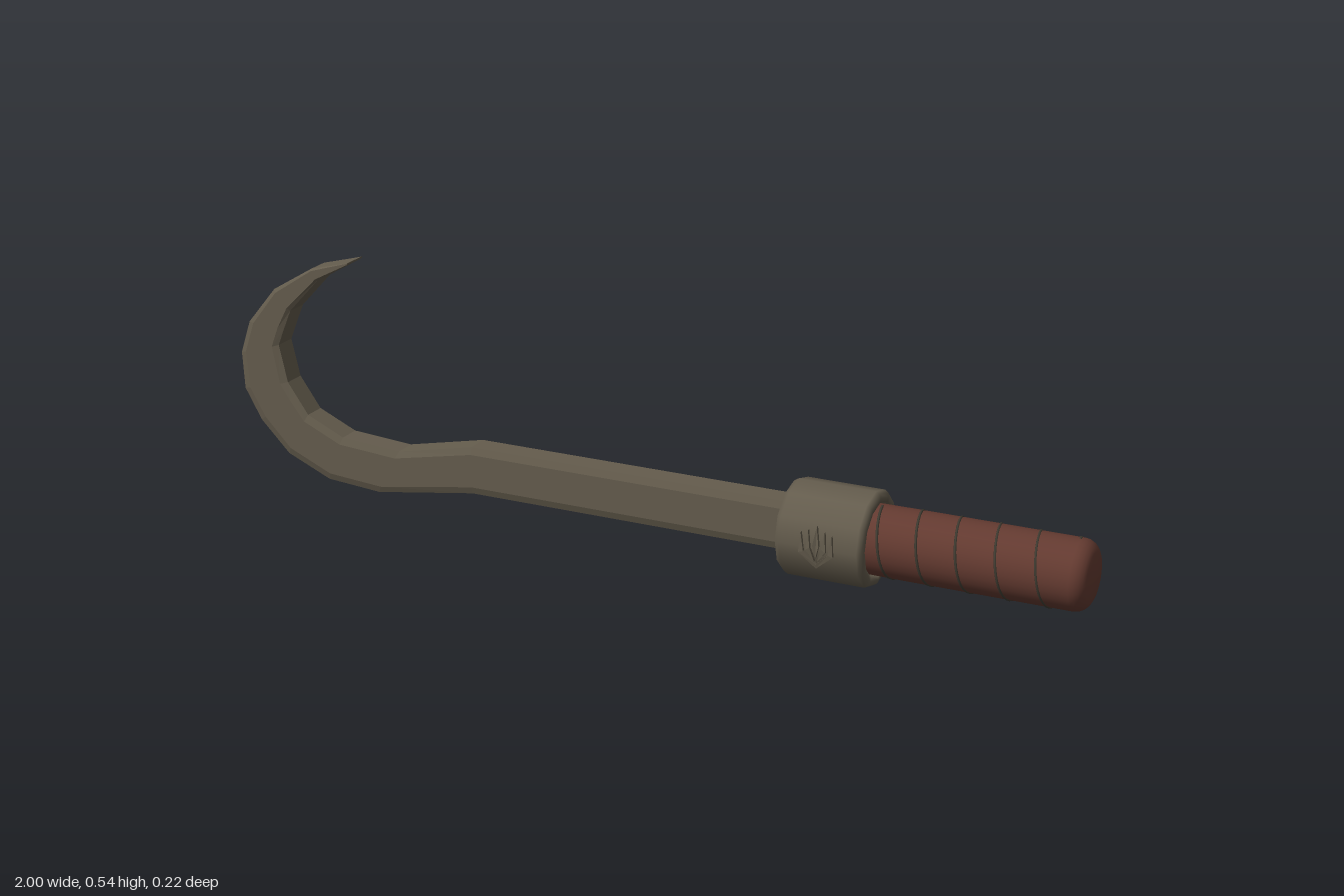
import * as THREE from 'three';

const AXIS_Y = 0.106; // height of the handle axis

function material(name, color) {
  const m = new THREE.MeshStandardMaterial({ color });
  m.name = name;
  return m;
}

function addMesh(parent, name, geometry, mat) {
  const mesh = new THREE.Mesh(geometry, mat);
  mesh.name = name;
  parent.add(mesh);
  return mesh;
}

// Lathe around the x axis; profile points are [x, radius]
function latheX(profile, sides) {
  const g = new THREE.LatheGeometry(profile.map(([x, r]) => new THREE.Vector2(r, x)), sides);
  return g.rotateZ(-Math.PI / 2).translate(0, AXIS_Y, 0);
}

// Bar with chamfered edges, swept through stations [outerX, outerY, innerX, innerY]
function hookGeometry() {
  const stations = [
    [0.36, 0.057, 0.36, 0.165],
    [-0.41, 0.057, -0.41, 0.165],
    [-0.65, 0.02, -0.595, 0.125],
    [-0.78, 0.03, -0.74, 0.135],
    [-0.885, 0.075, -0.83, 0.175],
    [-0.955, 0.145, -0.86, 0.217],
    [-0.995, 0.215, -0.88, 0.245],
    [-1, 0.3, -0.9, 0.33],
    [-0.975, 0.375, -0.884, 0.37],
    [-0.905, 0.46, -0.865, 0.415],
    [-0.805, 0.52, -0.79, 0.495],
    [-0.708, 0.546, -0.71, 0.541],
  ];
  const w = 0.032, n = 0.026, c = 0.15;
  // [position from outer to inner edge, z]
  const section = [[0, n], [c, w], [1 - c, w], [1, n], [1, -n], [1 - c, -w], [c, -w], [0, -n]];
  const rings = stations.map(([ox, oy, ix, iy]) =>
    section.map(([t, z]) => [ox + (ix - ox) * t, oy + (iy - oy) * t, z]));
  const pos = [];
  const tri = (...pts) => pts.forEach((p) => pos.push(...p));
  for (let s = 0; s < rings.length - 1; s++) {
    for (let j = 0; j < 8; j++) {
      const k = (j + 1) % 8;
      const a = rings[s][j], b = rings[s][k], e = rings[s + 1][k], d = rings[s + 1][j];
      tri(a, b, e);
      tri(a, e, d);
    }
  }
  const first = rings[0], last = rings[rings.length - 1];
  for (let j = 1; j < 7; j++) {
    tri(first[0], first[j + 1], first[j]);
    tri(last[0], last[j], last[j + 1]);
  }
  const g = new THREE.BufferGeometry();
  g.setAttribute('position', new THREE.Float32BufferAttribute(pos, 3));
  g.computeVertexNormals();
  return g;
}

// Thin plate from an outline, bowed backwards towards its top and bottom
function platePiece(outline) {
  const shape = new THREE.Shape(outline.map(([x, y]) => new THREE.Vector2(x, y)));
  const g = new THREE.ExtrudeGeometry(shape, { depth: 0.007, bevelEnabled: false });
  const p = g.attributes.position;
  for (let i = 0; i < p.count; i++) {
    const y = p.getY(i);
    p.setZ(i, p.getZ(i) + 0.103 - 3 * y * y);
  }
  g.computeVertexNormals();
  return g;
}

class Helix extends THREE.Curve {
  getPoint(t, target = new THREE.Vector3()) {
    const a = t * 5 * Math.PI * 2;
    return target.set(0.54 + 0.42 * t, AXIS_Y + 0.0745 * Math.cos(a), 0.0745 * Math.sin(a));
  }
}

export function createModel() {
  const model = new THREE.Group();
  model.name = 'hook';
  const metal = material('dull metal', 0x645c4d);
  const leather = material('brown leather', 0x633a30);
  const dark = material('dark metal', 0x403c32);

  // Shaft and curved hook in one bar
  addMesh(model, 'shaftAndHook', hookGeometry(), metal);

  // Collar with rounded rims and a shallow bore for the grip
  addMesh(model, 'collar', latheX([
    [0.34, 0], [0.34, 0.088], [0.343, 0.098], [0.353, 0.104],
    [0.525, 0.104], [0.533, 0.099], [0.536, 0.09], [0.535, 0.081], [0.51, 0.078],
  ], 12), metal);

  // Grip with a rounded end
  const grip = [[0.45, 0.074], [0.6, 0.075], [0.962, 0.075]];
  for (let i = 1; i <= 5; i++) {
    const a = (i / 5) * Math.PI / 2;
    grip.push([0.962 + 0.032 * Math.sin(a), 0.043 + 0.032 * Math.cos(a)]);
  }
  grip.push([0.999, 0.022], [1, 0]);
  addMesh(model, 'grip', latheX(grip, 28), leather);

  // Cord wound around the grip
  addMesh(model, 'gripCord', new THREE.TubeGeometry(new Helix(), 160, 0.003, 5), dark);

  // Three-bladed ornament on the front and back of the collar
  const blade = [[0, -0.022], [0.007, 0.005], [0, 0.046], [-0.007, 0.005]];
  const wing = [[0.003, -0.03], [0.022, -0.006], [0.018, 0.036], [0.013, 0]];
  const outer = [[0, -0.046], [0.038, -0.014], [0.034, 0.03], [0.027, -0.01], [0, -0.036]];
  const mirror = (pts) => pts.map(([x, y]) => [-x, y]);
  const pieces = [blade, wing, mirror(wing), outer, mirror(outer)].map(platePiece);
  for (const side of ['front', 'back']) {
    const ornament = new THREE.Group();
    ornament.name = side + 'Ornament';
    pieces.forEach((g) => addMesh(ornament, 'ornamentBlade', g, metal));
    ornament.position.set(0.438, 0.108, 0);
    if (side === 'back') ornament.rotation.y = Math.PI;
    model.add(ornament);
  }
  return model;
}
